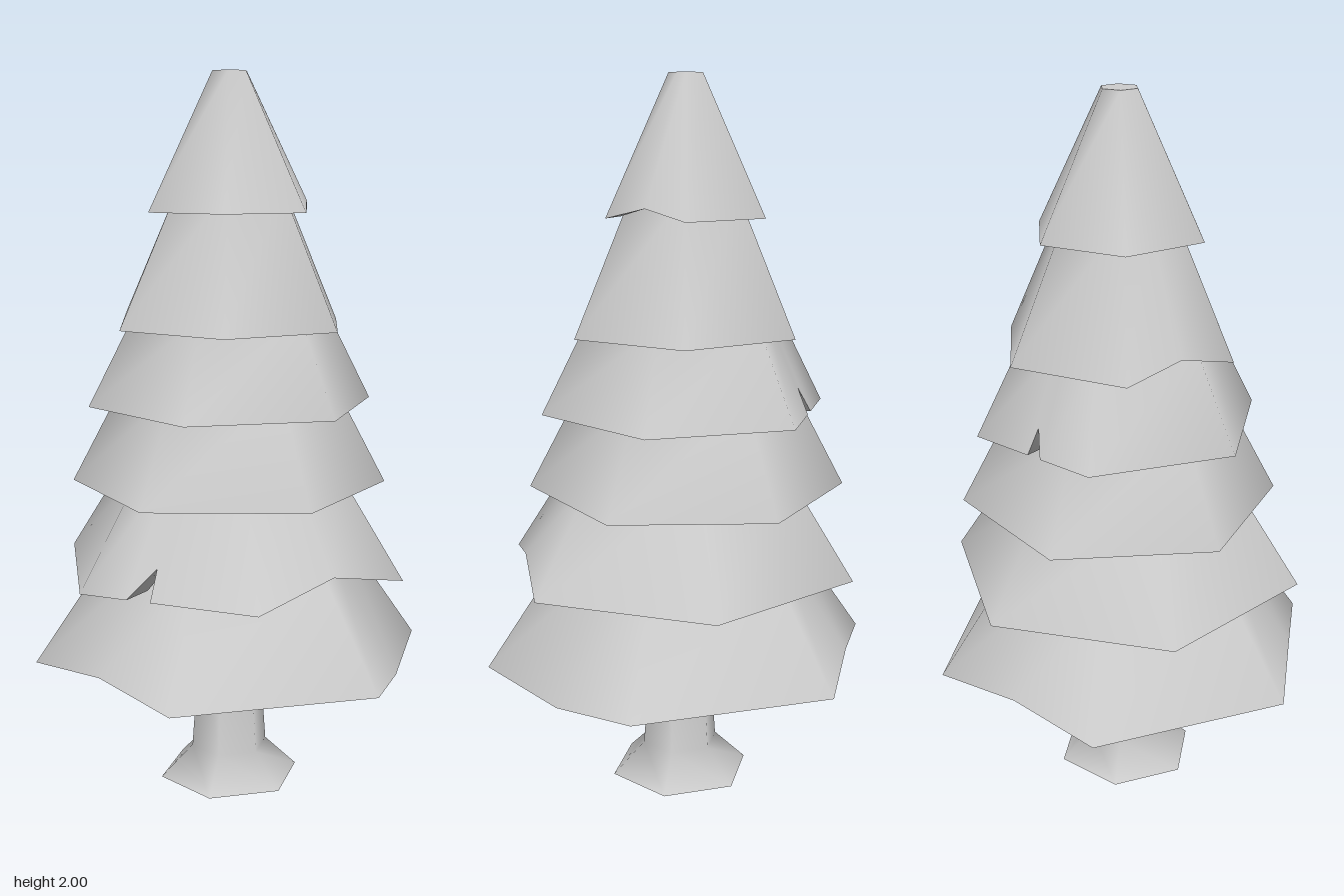
import * as THREE from 'three';

const material = new THREE.MeshStandardMaterial({ color: 0xcccccc, side: THREE.DoubleSide });

// Foliage tiers, bottom to top. edits: [edge, fraction along edge, rise, pulled in along the slope]
const tiers = [
  { x: -0.002, z: 0, y: 0.383, r: 0.56, top: 0.7, rTop: 0.34, turn: 30,
    edits: [[1, 0.5, 0.03], [3, 0.5, 0.03], [5, 0.5, -0.037]] },
  { x: 0, z: -0.002, y: 0.637, r: 0.507, top: 0.94, rTop: 0.31, turn: 6.2,
    edits: [[0, 0.5, 0.055], [1, 0.595, 0, true], [1, 0.605, 0.08, true], [1, 0.73, 0, true]] },
  { x: -0.012, z: -0.02, y: 0.87, r: 0.442, top: 1.16, rTop: 0.29, turn: -14.8, edits: [] },
  { x: -0.003, z: -0.02, y: 1.097, r: 0.403, top: 1.36, rTop: 0.268, turn: -28,
    edits: [[4, 0.42, 0, true], [4, 0.5, 0.07, true], [4, 0.53, 0, true]] },
  { x: -0.003, z: -0.02, y: 1.315, r: 0.337, top: 1.69, rTop: 0.162, turn: 17.4,
    edits: [[2, 0.5, 0.04]] },
  { x: -0.008, z: -0.018, y: 1.627, r: 0.243, top: 2, rTop: 0.052, turn: 17.6,
    edits: [[5, 0.5, 0.03]] },
];

// Hexagonal skirt: smooth outer slope, hollow underside with a thick rim, and flat cap
function tierGeometry(t) {
  const marks = [];
  for (let k = 0; k < 6; k++) {
    marks.push([k, 0, 0]);
    t.edits.filter((e) => e[0] === k).forEach((e) => marks.push(e));
  }
  const corner = (k) => {
    const a = THREE.MathUtils.degToRad(t.turn + k * 60);
    return new THREE.Vector3(Math.cos(a), 0, Math.sin(a));
  };
  const slope = (t.r - t.rTop) / (t.top - t.y);
  const ring = (radius, y, follow) => marks.map(([k, f, rise, pull]) => {
    const p = corner(k).lerp(corner(k + 1), f);
    p.multiplyScalar(radius - (follow && pull ? rise * slope : 0));
    return p.add(new THREE.Vector3(t.x, y + (follow ? rise : 0), t.z));
  });

  const positions = [], index = [];
  // Each strip joins neighbouring rings, smooth within and creased against the next strip
  const strip = (rings) => {
    const n = marks.length, base = positions.length / 3;
    rings.forEach((r) => r.forEach((p) => positions.push(p.x, p.y, p.z)));
    for (let s = 0; s < rings.length - 1; s++) {
      for (let i = 0; i < n; i++) {
        const a = base + s * n + i, b = base + s * n + (i + 1) % n;
        index.push(b, a, a + n, b, a + n, b + n);
      }
    }
  };
  const rim = ring(t.r, t.y, true);
  const crown = ring(t.rTop, t.top, false);
  strip([rim, crown]);
  strip([
    ring(0, t.y + 0.085, false),
    ring(t.r * 0.64, t.y + 0.075, false),
    ring(t.r * 0.81, t.y + 0.004, true),
    rim,
  ]);
  strip([crown, ring(0, t.top, false)]);

  const g = new THREE.BufferGeometry();
  g.setAttribute('position', new THREE.Float32BufferAttribute(positions, 3));
  g.setIndex(index);
  g.computeVertexNormals();
  return g;
}

export function createModel() {
  const tree = new THREE.Group();
  tree.name = 'pineTree';

  // Trunk with flared foot
  const profile = [[0.202, 0], [0.11, 0.09], [0.082, 0.48]].map(([r, y]) => new THREE.Vector2(r, y));
  const trunk = new THREE.Mesh(new THREE.LatheGeometry(profile, 6), material);
  trunk.name = 'trunk';
  trunk.position.x = -0.005;
  tree.add(trunk);

  const base = new THREE.Mesh(new THREE.CircleGeometry(0.202, 6, Math.PI / 2), material);
  base.name = 'trunkBase';
  base.rotation.x = Math.PI / 2;
  base.position.x = -0.005;
  tree.add(base);

  // Foliage
  tiers.forEach((t, i) => {
    const mesh = new THREE.Mesh(tierGeometry(t), material);
    mesh.name = `foliageTier${i + 1}`;
    tree.add(mesh);
  });
  return tree;
}
